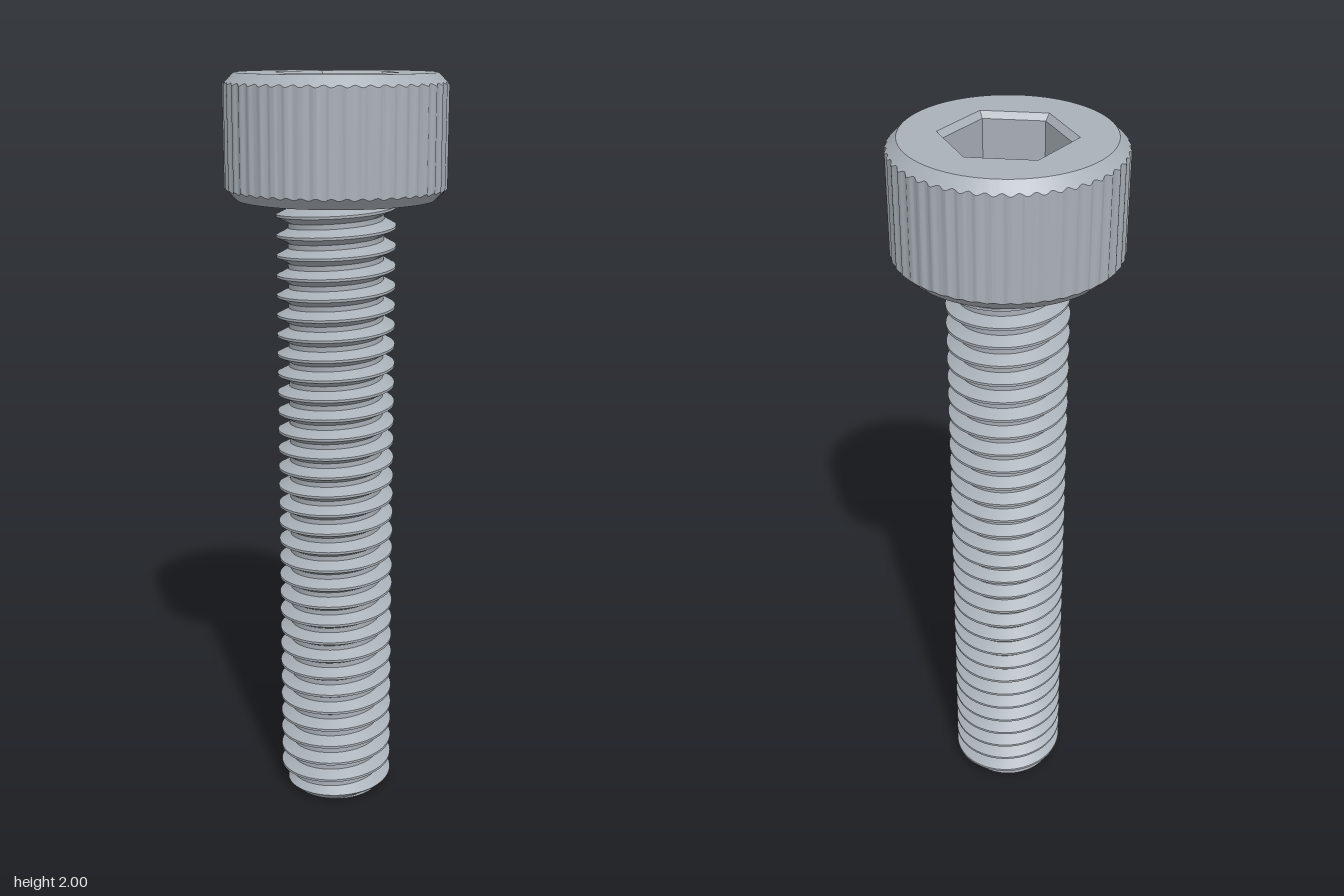
import * as THREE from 'three';
import { toCreasedNormals } from 'three/addons/utils/BufferGeometryUtils.js';

const HEAD_BASE = 1.684, TOP = 2;
const PITCH = 0.0526, MAJOR = 0.157, MINOR = 0.126;

// Surface around the y axis: point(row, angle) returns [radius, y].
// Rows running upward face outward, rows running downward face inward.
function sweepRows(rows, sides, point, crease) {
  const at = (row, i) => {
    const a = (i / sides) * Math.PI * 2;
    const [r, y] = point(row, a);
    return new THREE.Vector3(r * Math.cos(a), y, -r * Math.sin(a));
  };
  const positions = [];
  const triangle = (a, b, c) => {
    const area = b.clone().sub(a).cross(c.clone().sub(a)).length();
    if (area > 1e-9) for (const p of [a, b, c]) positions.push(p.x, p.y, p.z);
  };
  for (let j = 0; j < rows - 1; j++) {
    for (let i = 0; i < sides; i++) {
      const a = at(j, i), b = at(j, i + 1), c = at(j + 1, i + 1), d = at(j + 1, i);
      triangle(a, b, c);
      triangle(a, c, d);
    }
  }
  const geometry = new THREE.BufferGeometry();
  geometry.setAttribute('position', new THREE.Float32BufferAttribute(positions, 3));
  return toCreasedNormals(geometry, crease);
}

// Distance from the axis to the side of a hexagon with a corner on +x
function hexRadius(corner, a) {
  const sector = Math.PI / 3;
  const local = a - Math.floor(a / sector + 1e-6) * sector - sector / 2;
  return corner * Math.cos(sector / 2) / Math.cos(local);
}

// Thread radius at a phase of 0..1: flat root, flank, flat crest, flank
function threadRadius(phase) {
  const p = phase - Math.floor(phase);
  let t = 0;
  if (p > 0.25 && p < 0.5625) t = (p - 0.25) / 0.3125;
  else if (p >= 0.5625 && p <= 0.6875) t = 1;
  else if (p > 0.6875) t = (1 - p) / 0.3125;
  return MINOR + (MAJOR - MINOR) * t;
}

export function createModel() {
  const model = new THREE.Group();
  model.name = 'socketHeadScrew';
  const steel = new THREE.MeshStandardMaterial({ color: 0xa9b0b7 });
  steel.name = 'steel grey';
  const add = (name, geometry) => {
    const mesh = new THREE.Mesh(geometry, steel);
    mesh.name = name;
    model.add(mesh);
    return mesh;
  };

  // Knurled head: underside, chamfers, scalloped wall and top ring
  const rim = 0.26;
  add('knurledHead', sweepRows(6, 384, (row, a) => {
    const knurl = 0.286 + 0.003 * Math.cos(48 * a);
    return [
      [0.1, HEAD_BASE],
      [rim, HEAD_BASE],
      [knurl, HEAD_BASE + knurl - rim],
      [knurl, TOP - (knurl - rim)],
      [rim, TOP],
      [hexRadius(0.168, a), TOP],
    ][row];
  }, 0.7));

  // Hexagonal socket with a bevelled mouth and a flat floor
  const socket = [[0.168, TOP], [0.153, 1.985], [0.153, 1.85], [0, 1.85]];
  add('hexSocket', sweepRows(socket.length, 6, (row) => socket[row], 0.4));

  // Right-handed thread, cut off by the head and by a chamfer at the tip
  const stops = [0, 0.25, 0.5625, 0.6875];
  const turns = Math.ceil(HEAD_BASE / PITCH) + 2;
  add('threadedShank', sweepRows(turns * stops.length, 72, (row, a) => {
    const turn = Math.floor(row / stops.length) - 1;
    const lead = a / (Math.PI * 2);
    const raw = (turn + stops[row % stops.length] + lead) * PITCH;
    const y = THREE.MathUtils.clamp(raw, 0, HEAD_BASE);
    const phase = y === raw ? stops[row % stops.length] : y / PITCH - lead;
    return [Math.min(threadRadius(phase), MINOR + y), y];
  }, 0.5));

  // Flat tip
  const tip = add('shankTip', new THREE.CircleGeometry(MINOR, 72));
  tip.rotation.x = Math.PI / 2;

  return model;
}
